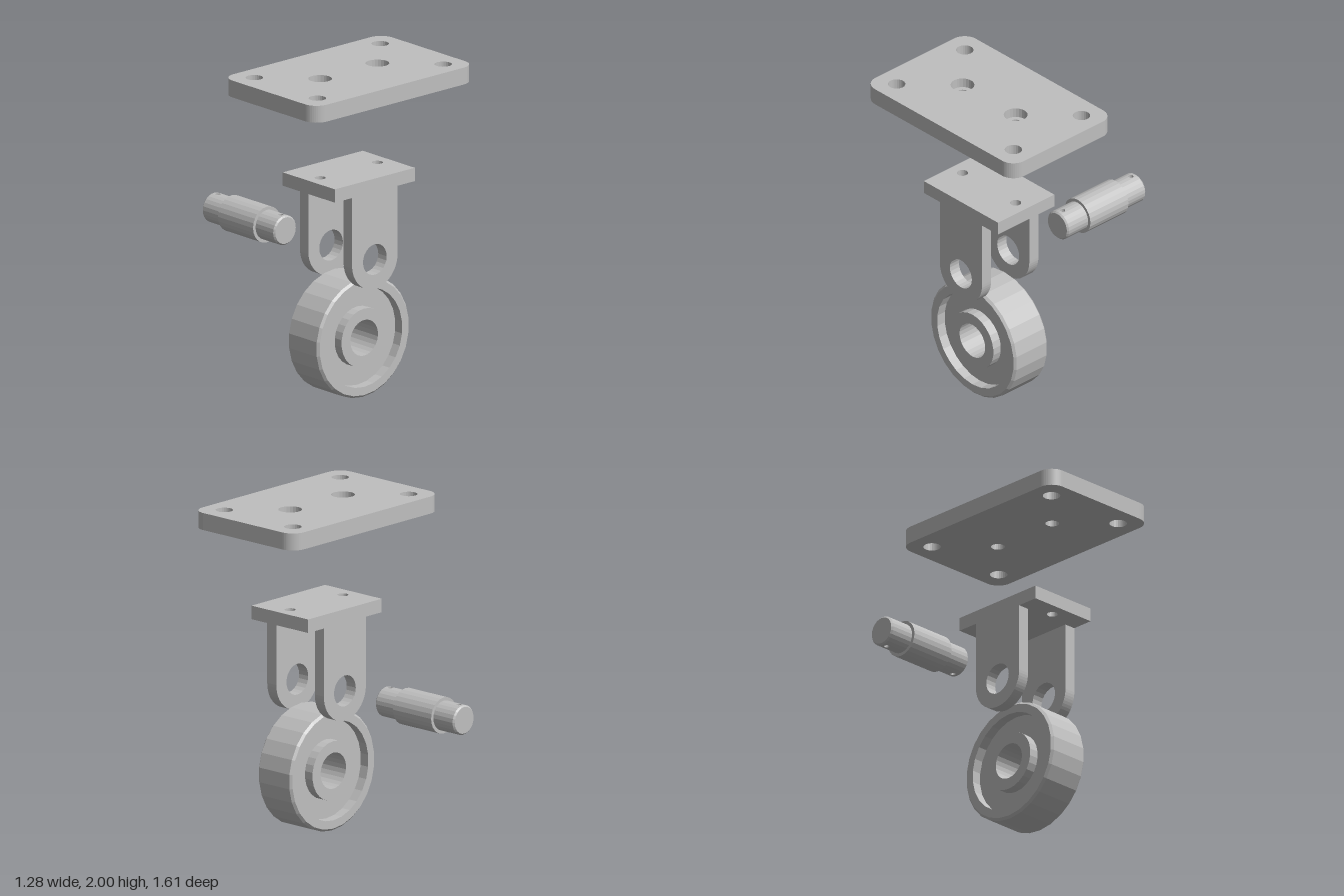
import * as THREE from 'three';
import { mergeGeometries } from 'three/addons/utils/BufferGeometryUtils.js';

const ZC = 0.393;   // shared centre of plate, bracket and wheel
const steel = new THREE.MeshStandardMaterial({ color: 0xbfbfbf });
steel.name = 'grey steel';

// Faceted copy of a geometry
function facet(geo) {
  const g = geo.index ? geo.toNonIndexed() : geo;
  g.deleteAttribute('uv');
  g.computeVertexNormals();
  return g;
}

function part(name, geos) {
  const mesh = new THREE.Mesh(mergeGeometries([geos].flat().map(facet)), steel);
  mesh.name = name;
  return mesh;
}

function circle(x, y, r, n = 24) {
  const pts = [];
  for (let i = 0; i < n; i++) {
    const a = (i / n) * Math.PI * 2;
    pts.push(new THREE.Vector2(x + r * Math.cos(a), y + r * Math.sin(a)));
  }
  return new THREE.Path(pts);
}

// Horizontal slab with rounded corners and round holes [x, z, r]
function slab(hx, hz, radius, y0, y1, holes) {
  const s = new THREE.Shape();
  if (radius > 0) {
    s.absarc(hx - radius, hz - radius, radius, 0, Math.PI / 2);
    s.absarc(radius - hx, hz - radius, radius, Math.PI / 2, Math.PI);
    s.absarc(radius - hx, radius - hz, radius, Math.PI, Math.PI * 1.5);
    s.absarc(hx - radius, radius - hz, radius, Math.PI * 1.5, Math.PI * 2);
  } else {
    s.moveTo(hx, hz).lineTo(-hx, hz).lineTo(-hx, -hz).lineTo(hx, -hz);
  }
  s.holes = holes.map(([x, z, r]) => circle(x, -z, r));
  return new THREE.ExtrudeGeometry(s, { depth: y1 - y0, bevelEnabled: false, curveSegments: 6 })
    .rotateX(-Math.PI / 2).translate(0, y0, ZC);
}

// Mounting plate: corner holes and two counterbored screw holes
function makePlate() {
  const corners = [];
  for (const x of [-0.505, 0.505]) for (const z of [-0.278, 0.278]) corners.push([x, z, 0.052]);
  const pair = (r) => [[-0.23, 0, r], [0.23, 0, r]];
  return part('mountingPlate', [
    slab(0.642, 0.412, 0.09, 1.895, 1.94, [...corners, ...pair(0.041)]),
    slab(0.642, 0.412, 0.09, 1.94, 2.0, [...corners, ...pair(0.071)]),
  ]);
}

// Fork bracket: drilled top and two round-ended arms
function makeBracket() {
  const group = new THREE.Group();
  group.name = 'forkBracket';
  group.add(part('bracketTop', slab(0.321, 0.23, 0, 1.3, 1.383, [[-0.23, 0, 0.033], [0.23, 0, 0.033]])));
  const s = new THREE.Shape();
  s.moveTo(0.183, 1.3).lineTo(-0.183, 1.3).lineTo(-0.183, 0.88);
  s.absarc(0, 0.88, 0.183, Math.PI, Math.PI * 2);
  s.closePath();
  s.holes = [circle(0, 0.88, 0.095)];
  for (const [name, z] of [['frontArm', 0.156], ['backArm', -0.23]]) {
    const geo = new THREE.ExtrudeGeometry(s, { depth: 0.074, bevelEnabled: false, curveSegments: 16 });
    group.add(part(name, geo.translate(0, 0, ZC + z)));
  }
  return group;
}

// Wheel: chamfered tread, recessed web on both faces, hub with open bore
function makeWheel() {
  const w = 0.136, web = 0.075;
  const half = [[0.371, w - 0.014], [0.357, w], [0.306, w], [0.306, web], [0.182, web], [0.182, w], [0.111, w]];
  const ring = [...half.map(([r, y]) => [r, -y]).reverse(), ...half];
  ring.push(ring[0]);
  const geo = new THREE.LatheGeometry(ring.map(([r, y]) => new THREE.Vector2(r, y)), 26);
  return part('wheel', geo.rotateX(Math.PI / 2).translate(0, 0.371, ZC));
}

// One journal of the axle along +y, cross-drilled along z
function makeJournal() {
  const R = 0.091, hole = 0.016, hy = 0.278, hh = 0.024, step = Math.PI / 12;
  const hx = R * Math.sin(step);
  const tube = (rTop, rBottom, y0, y1, n = 24, start = 0) =>
    new THREE.CylinderGeometry(rTop, rBottom, y1 - y0, n, 1, true, start, n * step).translate(0, (y0 + y1) / 2, 0);
  const geos = [
    tube(R, R, 0.15, hy - hh),
    tube(R, R, hy - hh, hy + hh, 10, step),
    tube(R, R, hy - hh, hy + hh, 10, step + Math.PI),
    tube(R, R, hy + hh, 0.31),
    tube(0.082, R, 0.31, 0.32),
    new THREE.CircleGeometry(0.082, 24).rotateX(-Math.PI / 2).translate(0, 0.32, 0),
  ];
  // Skin around the drilled hole, and the hole wall
  const onSkin = (x, y) => [x, hy + y, R - Math.abs(x) * Math.tan(step / 2)];
  const inner = (k) => onSkin(hole * Math.cos(k * step), hole * Math.sin(k * step));
  const outer = (k) => {
    const c = Math.cos(k * step), s = Math.sin(k * step), m = Math.max(Math.abs(c), Math.abs(s));
    return onSkin(hx * c / m, hh * s / m);
  };
  const below = ([x, y, z]) => [x, y, -z];
  const skin = [], wall = [];
  const quad = (list, a, b, c, d) => list.push(...a, ...b, ...c, ...a, ...c, ...d);
  for (let k = 0; k < 24; k++) {
    const a = inner(k), b = inner(k + 1);
    quad(skin, a, outer(k), outer(k + 1), b);
    quad(wall, a, b, below(b), below(a));
  }
  const build = (list) => new THREE.BufferGeometry()
    .setAttribute('position', new THREE.Float32BufferAttribute(list, 3));
  geos.push(build(skin), build(skin).rotateY(Math.PI), build(wall));
  return mergeGeometries(geos.map(facet));
}

// Axle pin: thick middle with a journal at each end
function makeAxle() {
  const group = new THREE.Group();
  group.name = 'axlePin';
  group.add(part('axleBody', new THREE.CylinderGeometry(0.111, 0.111, 0.31, 24)));
  group.add(part('frontJournal', makeJournal()));
  group.add(part('backJournal', makeJournal().rotateZ(Math.PI)));
  group.rotation.x = Math.PI / 2;
  group.position.set(0, 0.878, -0.485);
  return group;
}

export function createModel() {
  const model = new THREE.Group();
  model.name = 'explodedCaster';
  model.add(makePlate(), makeBracket(), makeWheel(), makeAxle());
  return model;
}
